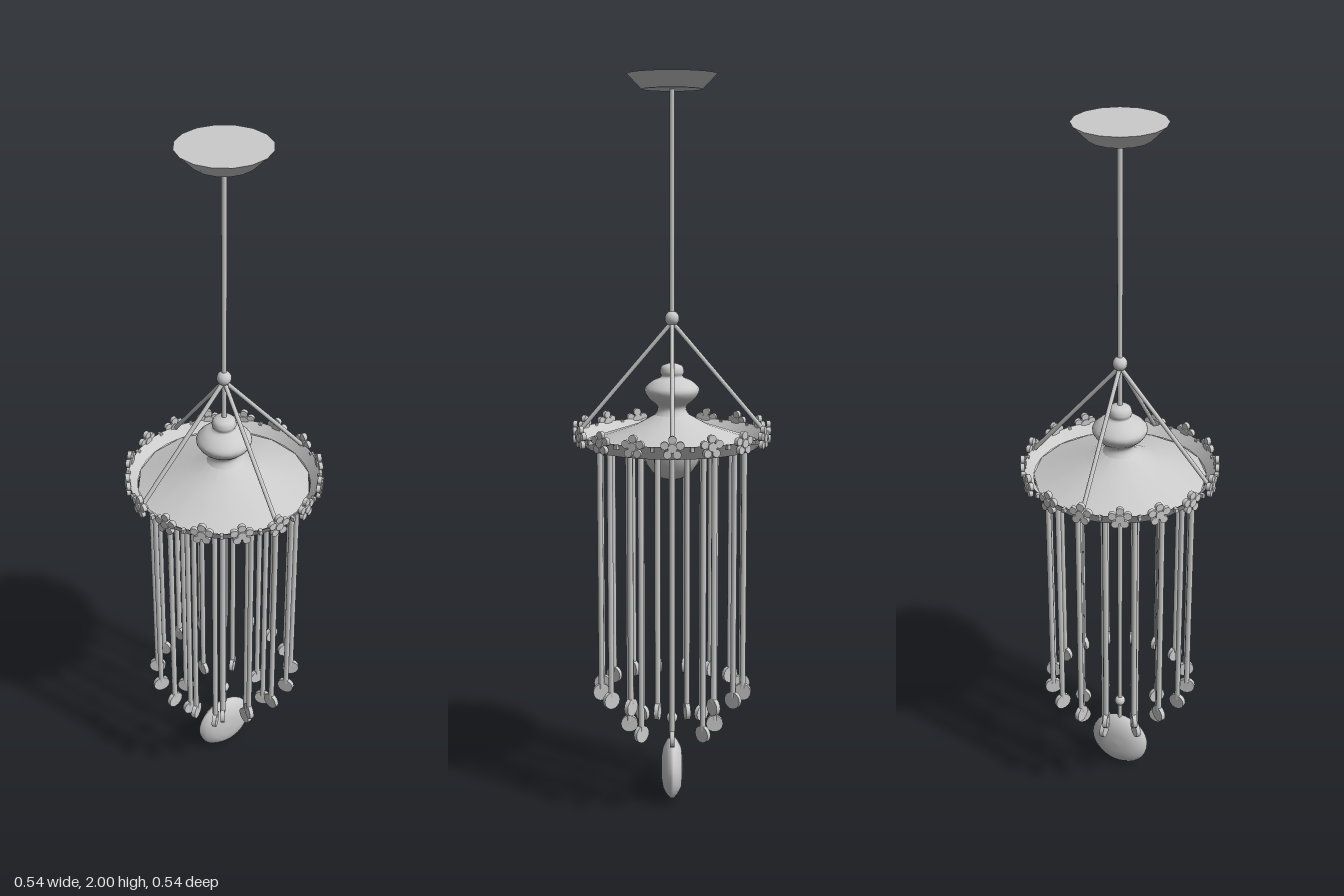
import * as THREE from 'three';

const grey = new THREE.MeshStandardMaterial({ color: 0xcccccc, side: THREE.DoubleSide });
const facet = new THREE.MeshStandardMaterial({ color: 0xcccccc, side: THREE.DoubleSide, flatShading: true });

function add(parent, name, geometry, material = grey) {
  const mesh = new THREE.Mesh(geometry, material);
  mesh.name = name;
  parent.add(mesh);
  return mesh;
}

function lathe(points, segments) {
  return new THREE.LatheGeometry(points.map(([r, y]) => new THREE.Vector2(r, y)), segments);
}

// Straight round bar between two points
function bar(parent, name, a, b, radius, sides = 8) {
  const dir = b.clone().sub(a);
  const mesh = add(parent, name, new THREE.CylinderGeometry(radius, radius, dir.length(), sides));
  mesh.position.copy(a).add(b).multiplyScalar(0.5);
  mesh.quaternion.setFromUnitVectors(new THREE.Vector3(0, 1, 0), dir.normalize());
  return mesh;
}

const V = (x, y, z) => new THREE.Vector3(x, y, z);

// Ring of rods, each ending in a disc that hangs edge-on to the ring
function hangingRods(parent, count, radius, offset, discY) {
  for (let i = 0; i < count; i++) {
    const rod = new THREE.Group();
    rod.name = 'hangingRod';
    rod.rotation.y = (i + offset) * Math.PI * 2 / count;
    bar(rod, 'rodShaft', V(0, 1.03, radius), V(0, discY + 0.01, radius), 0.008);
    const disc = add(rod, 'rodDisc', new THREE.CylinderGeometry(0.024, 0.024, 0.012, 14));
    disc.rotation.z = Math.PI / 2;
    disc.position.set(0, discY, radius);
    parent.add(rod);
  }
}

// Five-petalled flower facing +z
function flower() {
  const group = new THREE.Group();
  group.name = 'rimFlower';
  for (let i = 0; i < 5; i++) {
    const a = Math.PI / 2 + i * Math.PI * 2 / 5;
    const petal = add(group, 'petal', new THREE.CylinderGeometry(0.011, 0.011, 0.011, 10));
    petal.rotation.x = Math.PI / 2;
    petal.position.set(Math.cos(a) * 0.021, Math.sin(a) * 0.021, 0);
  }
  const heart = add(group, 'flowerHeart', new THREE.CylinderGeometry(0.012, 0.014, 0.016, 10));
  heart.rotation.x = Math.PI / 2;
  return group;
}

export function createModel() {
  const model = new THREE.Group();
  model.name = 'chandelier';

  // Ceiling mount, stem and joint
  const canopy = add(model, 'ceilingCanopy', new THREE.CylinderGeometry(0.12, 0.08, 0.04, 16), facet);
  canopy.position.y = 1.98;
  bar(model, 'stem', V(0, 1.97, 0), V(0, 1.2, 0), 0.007, 10);
  const joint = add(model, 'stemJoint', new THREE.SphereGeometry(0.02, 14, 10));
  joint.position.y = 1.36;

  // Four slanted stays from the joint to the rim
  for (let i = 0; i < 4; i++) {
    const a = i * Math.PI / 2;
    bar(model, 'stay', V(0, 1.35, 0), V(Math.sin(a) * 0.255, 1.05, Math.cos(a) * 0.255), 0.006);
  }

  // Turned finial above the dish
  const finial = new THREE.SplineCurve([
    [0.005, 1.24], [0.027, 1.232], [0.033, 1.215], [0.03, 1.202], [0.055, 1.19], [0.075, 1.168],
    [0.065, 1.145], [0.042, 1.125], [0.04, 1.11], [0.05, 1.095]
  ].map(([r, y]) => new THREE.Vector2(r, y)));
  add(model, 'finial', new THREE.LatheGeometry(finial.getPoints(30).reverse(), 20));

  // Dish: shallow cone rising to the finial, upturned lip, outer wall and base
  add(model, 'dishCone', lathe([[0.235, 1.025], [0.1, 1.07], [0.045, 1.1]], 16));
  add(model, 'dishLip', lathe([[0.26, 1.052], [0.235, 1.025]], 32));
  add(model, 'dishWall', lathe([[0.235, 1.015], [0.26, 1.05]], 32));
  add(model, 'dishBase', lathe([[0, 1.016], [0.235, 1.015]], 16));

  // Bowl below the dish
  const bowl = add(model, 'lowerBowl',
    new THREE.SphereGeometry(0.085, 16, 8, 0, Math.PI * 2, Math.PI / 2, Math.PI / 2));
  bowl.scale.y = 1.15;
  bowl.position.y = 1.016;

  // Flowers round the rim with small studs between
  for (let i = 0; i < 16; i++) {
    const spoke = new THREE.Group();
    spoke.name = 'rimOrnament';
    spoke.rotation.y = i * Math.PI / 8;
    const bloom = flower();
    bloom.position.set(0, 1.05, 0.263);
    spoke.add(bloom);
    const stud = add(spoke, 'rimStud', new THREE.BoxGeometry(0.009, 0.012, 0.012));
    const a = Math.PI / 16;
    stud.position.set(Math.sin(a) * 0.26, 1.045, Math.cos(a) * 0.26);
    stud.rotation.y = a;
    model.add(spoke);
  }

  // Two rings of hanging rods
  hangingRods(model, 16, 0.2, 0.5, 0.325);
  hangingRods(model, 8, 0.12, 0, 0.218);

  // Central rod and lens-shaped pendant
  bar(model, 'centreRod', V(0, 0.94, 0), V(0, 0.17, 0), 0.007);
  const bead = add(model, 'pendantBead', new THREE.SphereGeometry(0.016, 12, 8));
  bead.position.y = 0.235;
  const pendant = add(model, 'pendant', lathe([
    [0, -0.031], [0.03, -0.03], [0.055, -0.026], [0.075, -0.016], [0.088, -0.004],
    [0.088, 0.004], [0.075, 0.016], [0.055, 0.026], [0.03, 0.03], [0, 0.031]
  ], 32));
  pendant.rotation.x = Math.PI / 2;
  pendant.position.y = 0.088;

  return model;
}
